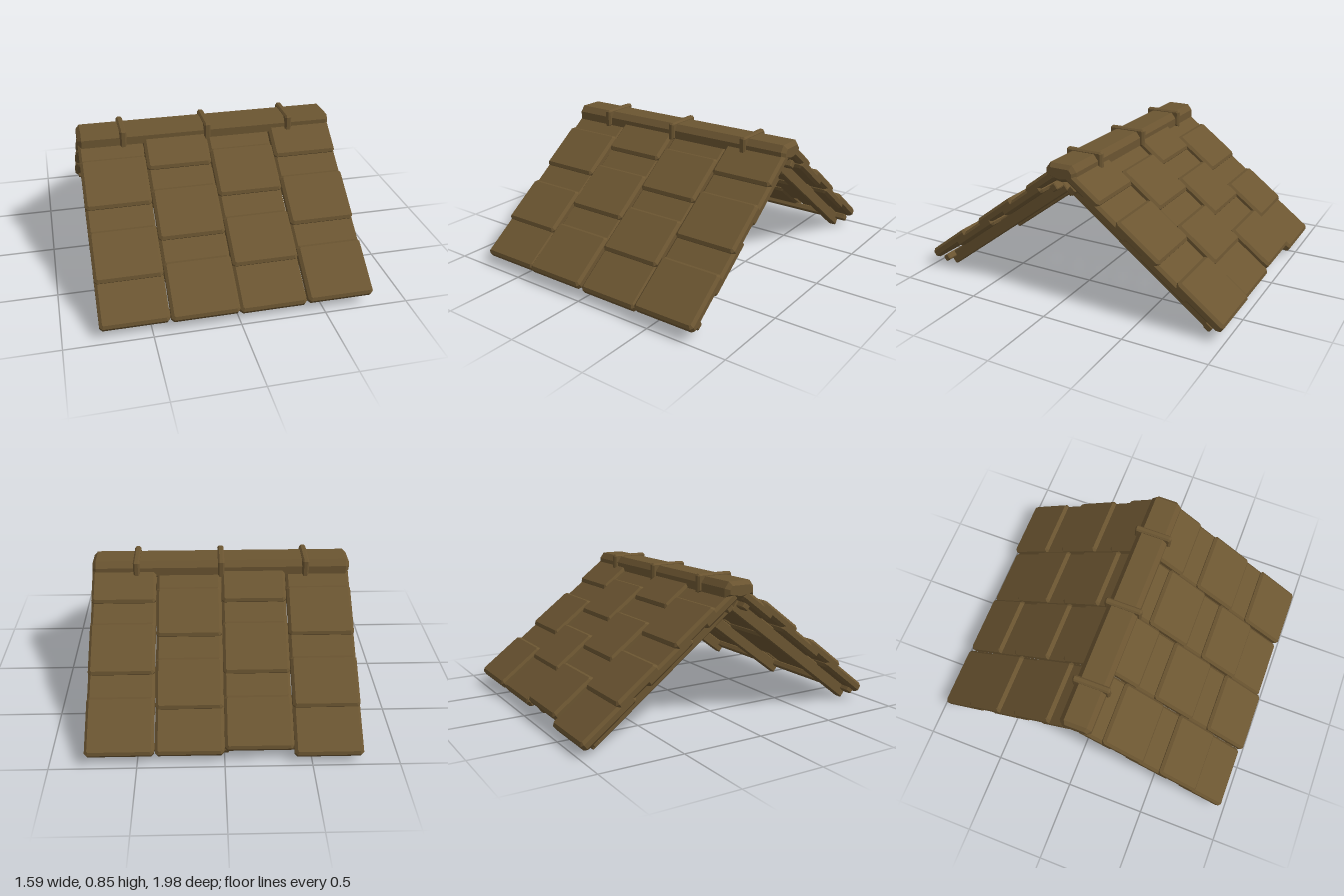
import * as THREE from 'three';

const wood = new THREE.MeshStandardMaterial({ color: 0x6b5531 });
wood.name = 'brownWood';

// Block with chamfered edges and clipped corners, centred on the origin
function chamferBox(w, h, l, c) {
  const a = w / 2, b = l / 2;
  const s = new THREE.Shape([
    [-a + c, -b], [a - c, -b], [a, -b + c], [a, b - c],
    [a - c, b], [-a + c, b], [-a, b - c], [-a, -b + c],
  ].map(([x, y]) => new THREE.Vector2(x, y)));
  const g = new THREE.ExtrudeGeometry(s, {
    depth: h - 2 * c, bevelEnabled: true, bevelThickness: c,
    bevelSize: c, bevelOffset: -c, bevelSegments: 1,
  });
  g.translate(0, 0, -(h - 2 * c) / 2);
  return g.rotateX(-Math.PI / 2);
}

// Block given by its ranges: x across, n out of the slope, s down the slope
function block(parent, name, [x0, x1], [n0, n1], [s0, s1], c) {
  const m = new THREE.Mesh(chamferBox(x1 - x0, n1 - n0, s1 - s0, c), wood);
  m.position.set((x0 + x1) / 2, (n0 + n1) / 2, (s0 + s1) / 2);
  m.name = name;
  parent.add(m);
}

const LOW = [0.598, 0.66], HIGH = [0.62, 0.682];

// Raised shingles of a column as [top, bottom] along the slope
const raisedEven = [[-0.29, 0.03], [0.165, 0.475]];
const raisedOdd = [[-0.44, -0.19], [-0.06, 0.265], [0.4, 0.74]];

// One slope: ends holds the eave end of each column from -x to +x
function slope(name, ends, evenFirst) {
  const g = new THREE.Group();
  g.name = name;
  ends.forEach((end, i) => {
    const x = [-0.793 + i * 0.397, -0.793 + i * 0.397 + 0.393];
    const even = (i % 2 === 0) === evenFirst;
    const raised = (even ? raisedEven : raisedOdd).map((r) => [...r]);
    if (!even) raised[2][1] = end;
    raised.forEach((r) => block(g, 'raisedShingle', x, HIGH, r, 0.016));
    // Lower shingles bridge the gaps and tuck under their neighbours
    const lower = even
      ? [[-0.44, -0.18], [-0.08, 0.275], [0.365, end]]
      : [[-0.3, 0.05], [0.155, 0.51]];
    lower.forEach((r) => block(g, 'lowerShingle', x, LOW, r, 0.016));
  });
  // Rafters and cross rails below the shingles
  for (const x of [-0.68, 0, 0.68]) {
    block(g, 'rafter', [x - 0.026, x + 0.026], [0.528, 0.606], [-0.396, 0.704], 0.006);
  }
  block(g, 'ridgeRail', [-0.77, 0.77], [0.565, 0.61], [-0.39, -0.345], 0.006);
  block(g, 'eaveRail', [-0.77, 0.77], [0.57, 0.61], [0.655, 0.7], 0.006);
  g.rotation.x = Math.atan2(0.6, 0.8);
  return g;
}

// Saddle profile in z and y, extruded along x with chamfered ends
function saddle(name, points, length, c, x) {
  const s = new THREE.Shape(points.map(([z, y]) => new THREE.Vector2(z, y)));
  const g = new THREE.ExtrudeGeometry(s, {
    depth: length - 2 * c, bevelEnabled: true, bevelThickness: c,
    bevelSize: c, bevelOffset: -c, bevelSegments: 1,
  });
  g.translate(0, 0, -(length - 2 * c) / 2).rotateY(Math.PI / 2);
  const m = new THREE.Mesh(g, wood);
  m.position.x = x;
  m.name = name;
  return m;
}

export function createModel() {
  const model = new THREE.Group();
  model.name = 'gableRoof';

  model.add(slope('frontSlope', [0.73, 0.74, 0.74, 0.74], true));
  const back = new THREE.Group();
  back.name = 'backSide';
  back.rotation.y = Math.PI;
  back.add(slope('backSlope', [0.74, 0.735, 0.715, 0.75], false));
  model.add(back);

  // Ridge cap
  model.add(saddle('ridgeCap', [
    [-0.098, 0.755], [0, 0.735], [0.098, 0.755], [0.098, 0.805],
    [0.07, 0.842], [-0.07, 0.842], [-0.098, 0.805],
  ], 1.586, 0.022, 0));

  // Straps over the cap
  for (const x of [-0.52, 0, 0.52]) {
    model.add(saddle('ridgeStrap', [
      [-0.118, 0.75], [0.118, 0.75], [0.118, 0.845],
      [0.108, 0.856], [-0.108, 0.856], [-0.118, 0.845],
    ], 0.04, 0.01, x));
  }
  return model;
}
